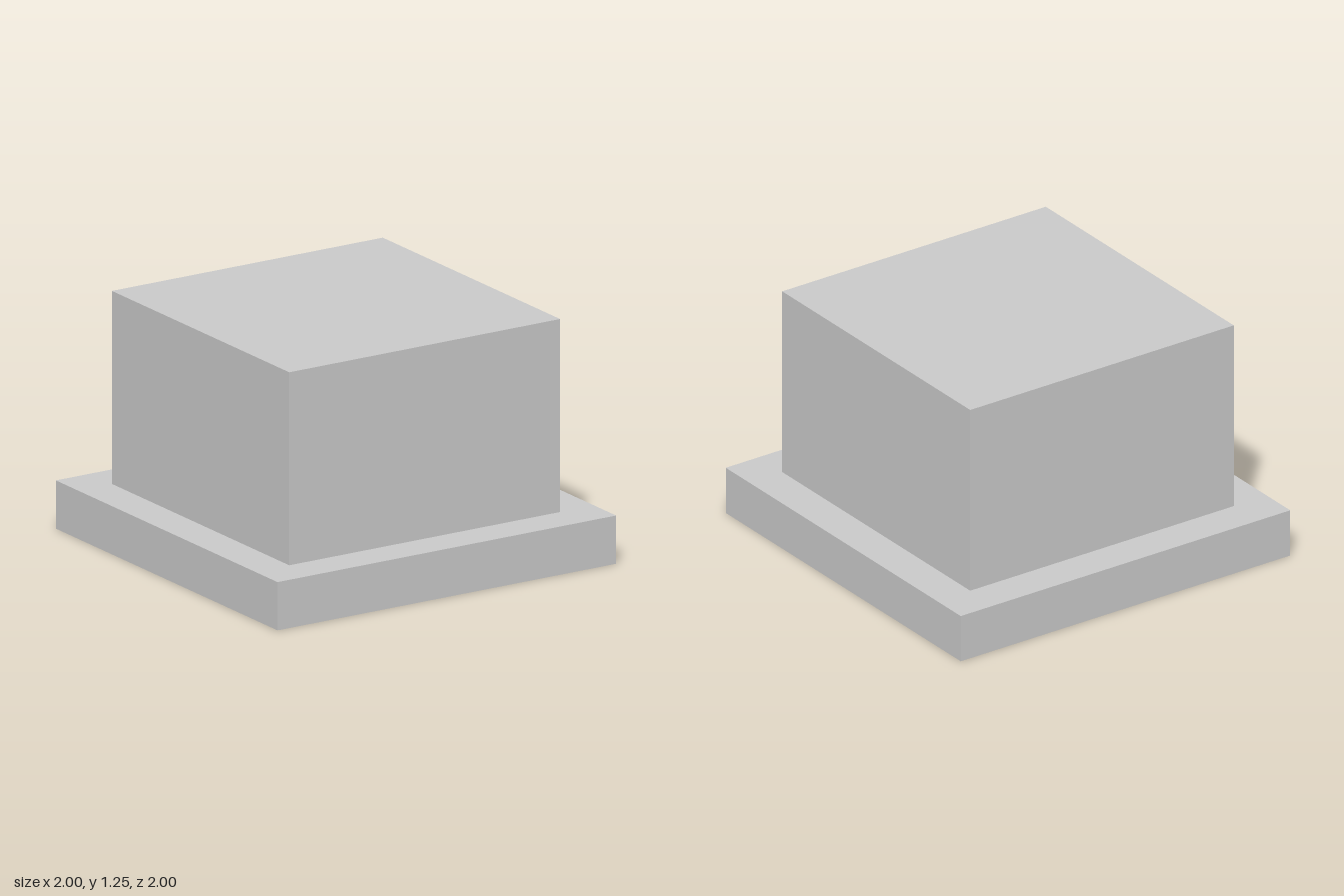
import * as THREE from 'three';

export function createModel() {
  const group = new THREE.Group();
  const material = new THREE.MeshStandardMaterial({ color: 0xcccccc });

  // Square block standing on the given height
  function addBlock(name, width, height, bottom) {
    const mesh = new THREE.Mesh(new THREE.BoxGeometry(width, height, width), material);
    mesh.name = name;
    mesh.position.y = bottom + height / 2;
    group.add(mesh);
  }

  addBlock('base', 2, 0.25, 0);
  addBlock('upperBlock', 1.6, 1, 0.25);

  return group;
}
